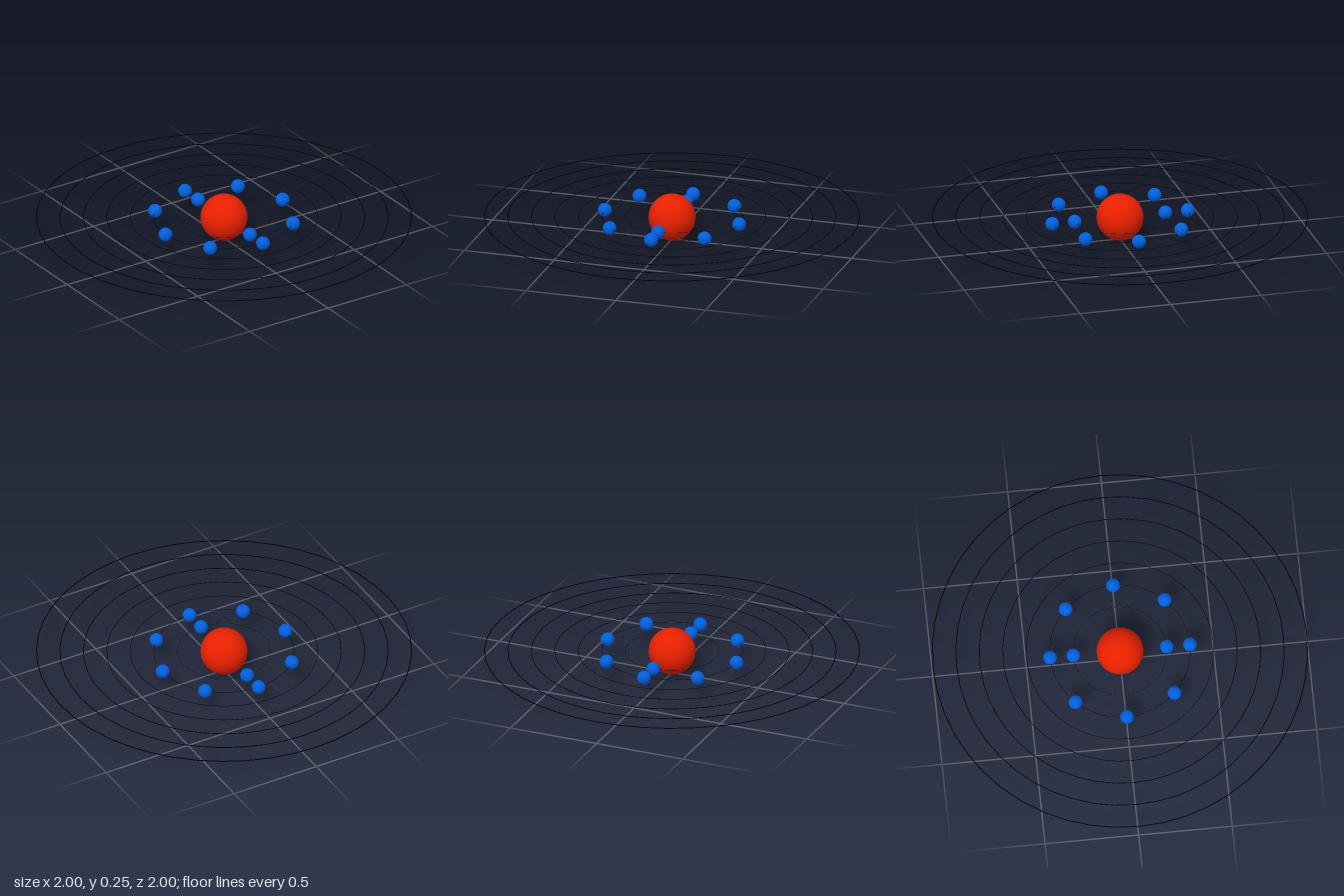
import * as THREE from 'three';

export function createModel() {
  const model = new THREE.Group();
  const red = new THREE.MeshStandardMaterial({ color: 0xe82000 });
  const blue = new THREE.MeshStandardMaterial({ color: 0x0060e0 });
  const black = new THREE.MeshStandardMaterial({ color: 0x000000 });
  const height = 0.125;

  function add(parent, name, geometry, material, x, y, z) {
    const mesh = new THREE.Mesh(geometry, material);
    mesh.name = name;
    mesh.position.set(x, y, z);
    parent.add(mesh);
  }

  // Central nucleus
  add(model, 'nucleus', new THREE.SphereGeometry(0.125, 48, 32), red, 0, height, 0);

  // Seven evenly spaced orbit rings, thicker towards the outside
  const orbits = new THREE.Group();
  orbits.name = 'orbits';
  for (let i = 2; i <= 8; i++) {
    const radius = i / 8;
    const tube = 0.0027 * radius;
    const ring = new THREE.TorusGeometry(radius - tube, tube, 8, 48).rotateX(Math.PI / 2);
    add(orbits, 'orbit' + (i - 1), ring, black, 0, height, 0);
  }
  model.add(orbits);

  // Electrons: two on the inner orbit, eight on the second
  const electrons = new THREE.Group();
  electrons.name = 'electrons';
  const ball = new THREE.SphereGeometry(0.037, 32, 20);
  for (const [count, radius] of [[2, 0.25], [8, 0.374]]) {
    for (let i = 0; i < count; i++) {
      const a = (i / count) * Math.PI * 2;
      add(electrons, 'electron', ball, blue, Math.sin(a) * radius, height, Math.cos(a) * radius);
    }
  }
  model.add(electrons);

  return model;
}
